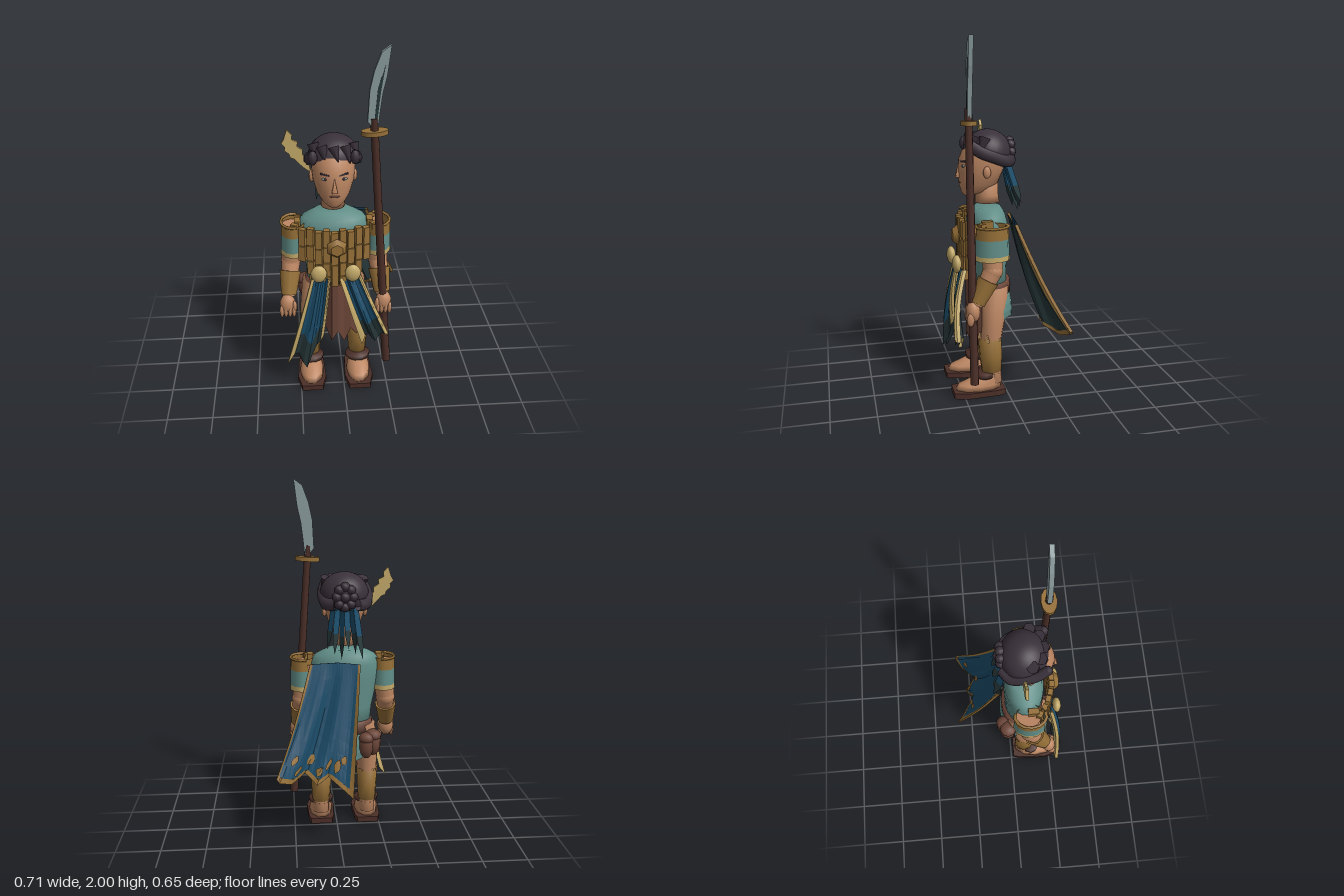
import * as THREE from 'three';

const V = (x, y, z) => new THREE.Vector3(x, y, z);
const CX = -0.05; // body axis

function paint(name, color, side = THREE.FrontSide) {
  const m = new THREE.MeshStandardMaterial({ color, side });
  m.name = name;
  return m;
}

// Stacked elliptical rings [y, rx, rz, cx, cz], capped at both ends
function loft(rings, n = 20) {
  const pos = [], idx = [];
  for (const [y, rx, rz, cx, cz] of rings) {
    for (let j = 0; j < n; j++) {
      const a = (j / n) * Math.PI * 2;
      pos.push(cx + rx * Math.cos(a), y, cz + rz * Math.sin(a));
    }
  }
  const last = (rings.length - 1) * n, b = rings.length * n;
  for (const r of [rings[0], rings[rings.length - 1]]) pos.push(r[3], r[0], r[4]);
  for (let j = 0; j < n; j++) {
    const k = (j + 1) % n;
    for (let i = 0; i < last; i += n) idx.push(i + j, i + n + j, i + k, i + k, i + n + j, i + n + k);
    idx.push(b, j, k, b + 1, last + k, last + j);
  }
  const g = new THREE.BufferGeometry();
  g.setAttribute('position', new THREE.Float32BufferAttribute(pos, 3));
  g.setIndex(idx);
  g.computeVertexNormals();
  return g;
}

// Cloth piece: part of a surface fn(u, v), faceted
function patch(fn, u0, u1, v0, v1, nu = 6, nv = 6) {
  const g = new THREE.PlaneGeometry(1, 1, nu, nv), p = g.attributes.position, uv = g.attributes.uv;
  for (let i = 0; i < p.count; i++) {
    const q = fn(u0 + (u1 - u0) * uv.getX(i), v0 + (v1 - v0) * (1 - uv.getY(i)));
    p.setXYZ(i, q.x, q.y, q.z);
  }
  const f = g.toNonIndexed();
  f.computeVertexNormals();
  return f;
}

// Point at fraction u of a polyline
function along(pts, u) {
  const t = u * (pts.length - 1), i = Math.min(Math.floor(t), pts.length - 2);
  return pts[i].clone().lerp(pts[i + 1], t - i);
}

// Tapered cylinder from a to b
function rod(a, b, ra, rb, n = 14) {
  const d = b.clone().sub(a);
  const g = new THREE.CylinderGeometry(rb, ra, d.length(), n);
  g.applyQuaternion(new THREE.Quaternion().setFromUnitVectors(V(0, 1, 0), d.normalize()));
  const c = a.clone().add(b).multiplyScalar(0.5);
  return g.translate(c.x, c.y, c.z);
}

const ball = (x, y, z, rx, ry = rx, rz = rx, n = 16) =>
  new THREE.SphereGeometry(1, n, Math.max(6, n * 0.7 | 0)).scale(rx, ry, rz).translate(x, y, z);
const box = (x, y, z, w, h, d) => new THREE.BoxGeometry(w, h, d).translate(x, y, z);

function plate(pts, depth, z) {
  const s = new THREE.Shape(pts.map(([x, y]) => new THREE.Vector2(x, y)));
  return new THREE.ExtrudeGeometry(s, { depth, bevelEnabled: false }).translate(0, 0, z);
}

export function createModel() {
  const model = new THREE.Group();
  model.name = 'spearBearer';
  const D = THREE.DoubleSide;
  const skin = paint('skin', 0xbd8763), hair = paint('hair', 0x3a313a, D), teal = paint('tealCloth', 0x628e88, D);
  const blue = paint('blueCloth', 0x1b4c69, D), dark = paint('darkCloth', 0x263638, D), gold = paint('gold', 0x967038, D);
  const tan = paint('paleGold', 0xc4aa6a, D), leather = paint('leather', 0x6b4538, D);
  const wood = paint('darkWood', 0x4c2f28), steel = paint('steel', 0x8a9b9d);
  const add = (name, geo, mat) => {
    const m = new THREE.Mesh(geo, mat);
    m.name = name;
    model.add(m);
  };

  // Torso, hips and neck
  add('tunic', loft([[0.6, 0.145, 0.1, CX, 0.07], [0.72, 0.155, 0.108, CX, 0.078], [0.88, 0.19, 0.115, CX, 0.08],
    [0.98, 0.205, 0.112, CX, 0.08], [1.03, 0.17, 0.1, CX, 0.08], [1.065, 0.1, 0.075, CX, 0.075]], 28), teal);
  add('hips', loft([[0.45, 0.13, 0.07, CX, 0.06], [0.52, 0.152, 0.085, CX, 0.06], [0.65, 0.14, 0.095, CX, 0.07]]), skin);
  add('neck', loft([[1.09, 0.068, 0.07, CX, 0.075], [1.13, 0.062, 0.066, CX, 0.078], [1.22, 0.064, 0.07, CX, 0.085]]), skin);
  add('belt', loft([[0.575, 0.165, 0.117, CX, 0.066], [0.645, 0.16, 0.119, CX, 0.07]]), leather);
  add('backSkirt', patch((u, v) => {
    const a = Math.PI * (1.08 + 0.82 * u), r = 1 + 0.22 * Math.sin(v * 2.2);
    return V(CX + 0.152 * r * Math.cos(a), 0.61 - 0.185 * v + 0.02 * Math.sin(u * 9) * v, 0.06 + 0.1 * r * Math.sin(a));
  }, 0, 1, 0, 1, 12, 4), teal);
  for (const [x, y, z, r] of [[-0.205, 0.52, -0.02, 0.048], [-0.165, 0.51, -0.045, 0.042]]) {
    add('pouch', ball(x, y, z, r, 0.078, r, 10), leather);
    add('pouchLid', ball(x, y + 0.045, z, r * 1.06, 0.034, r * 1.06, 10), leather);
  }

  // Head and face
  add('head', loft([[1.135, 0.03, 0.03, CX, 0.18], [1.155, 0.06, 0.07, CX, 0.152], [1.2, 0.09, 0.11, CX, 0.125],
    [1.27, 0.111, 0.126, CX, 0.112], [1.34, 0.118, 0.134, CX, 0.1], [1.41, 0.112, 0.116, CX, 0.085],
    [1.46, 0.08, 0.08, CX, 0.075]], 24), skin);
  add('nose', new THREE.ConeGeometry(0.024, 0.08, 4).rotateY(Math.PI / 4).scale(0.9, 1, 0.9).translate(CX, 1.277, 0.238), skin);
  add('mouth', ball(CX, 1.21, 0.23, 0.028, 0.008, 0.008, 10), leather);
  for (const s of [-1, 1]) {
    const x = CX + s * 0.048;
    add('ear', ball(CX + s * 0.116, 1.275, 0.1, 0.014, 0.034, 0.022, 10), skin);
    add('eye', ball(x, 1.305, 0.217, 0.02, 0.008, 0.008, 10), steel);
    add('iris', ball(x, 1.305, 0.223, 0.008, 0.008, 0.005, 8), hair);
    const brow = box(0, 0, 0, 0.052, 0.009, 0.012).rotateZ(s * 0.1).rotateY(s * 0.35);
    add('eyebrow', brow.translate(x, 1.33, 0.218), hair);
  }

  // Hair cap, fringe, side bands, bun and ribbons
  const cap = new THREE.SphereGeometry(1, 28, 16, 0, Math.PI * 2, 0, Math.PI * 0.57);
  add('hairCap', cap.rotateX(-0.45).scale(0.138, 0.127, 0.132).translate(CX + 0.005, 1.372, 0.075), hair);
  for (let i = 0; i < 5; i++) {
    const a = -1.1 + i * 0.55, x = CX + 0.118 * Math.sin(a), z = 0.085 + 0.117 * Math.cos(a);
    add('fringeLock', rod(V(x + 0.022, 1.395 - Math.abs(a) * 0.03, z + 0.008), V(x, 1.462, z - 0.03), 0.004, 0.034, 6), hair);
  }
  for (const s of [-1, 1]) {
    const path = new THREE.CatmullRomCurve3([[0.11, 1.4, 0.185], [0.128, 1.375, 0.13], [0.13, 1.355, 0.06], [0.112, 1.335, -0.01],
      [0.06, 1.335, -0.05]].map(([x, y, z]) => V(CX + s * x, y * 1 , z)));
    const band = new THREE.TubeGeometry(path, 12, 0.026, 7).translate(0, -1.36, 0).scale(1, 1.35, 1).translate(0, 1.365, 0);
    add('sideHairBand', band, hair);
    add('sideHairEnd', ball(CX + s * 0.11, 1.41, 0.185, 0.025, 0.04, 0.025, 8), hair);
  }
  add('bun', ball(-0.04, 1.375, -0.03, 0.052, 0.062, 0.04), hair);
  for (let i = 0; i < 8; i++) {
    const a = i * Math.PI / 4;
    add('bunCurl', ball(-0.04 + 0.045 * Math.cos(a), 1.375 + 0.055 * Math.sin(a), -0.05, 0.028, 0.028, 0.028, 8), hair);
  }
  add('bunCurl', ball(-0.04, 1.375, -0.06, 0.028, 0.028, 0.028, 8), hair);
  for (let i = 0; i < 6; i++) {
    const x = -0.1 + i * 0.025, low = 1.035 + 0.03 * (i % 3), turn = i % 2 ? 1 : -0.7;
    const ribbon = (u, v) => {
      const w = (u - 0.5) * 0.044 * (v < 0.7 ? 1 : (1 - v) * 3.3);
      return V(x + w * Math.cos(turn) + (i - 2.5) * 0.014 * v, 1.31 + (low - 1.31) * v, -0.03 - 0.065 * v + w * Math.sin(turn));
    };
    add('ribbon', patch(ribbon, 0, 1, 0, 0.55, 1, 3), blue);
    add('ribbonTip', patch(ribbon, 0, 1, 0.55, 1, 1, 4), dark);
  }
  add('feather', plate([[-0.165, 1.28], [-0.205, 1.31], [-0.24, 1.345], [-0.25, 1.36], [-0.275, 1.37], [-0.28, 1.39], [-0.305, 1.41],
    [-0.302, 1.43], [-0.32, 1.45], [-0.308, 1.47], [-0.29, 1.525], [-0.262, 1.495], [-0.266, 1.47], [-0.234, 1.455], [-0.238, 1.43],
    [-0.208, 1.41], [-0.21, 1.385], [-0.185, 1.36], [-0.175, 1.32]], 0.016, 0.057), tan);

  // Slatted chest armour
  const bulge = x => 0.236 - 1.8 * (x - CX) ** 2;
  const slat = (x, y, w, h) => {
    const g = new THREE.BoxGeometry(w, h, 0.03).rotateY((x - CX) * 2.4);
    add('armourSlat', g.translate(x, y, bulge(x)), gold);
  };
  for (let i = 0; i < 11; i++) {
    const x = CX + (i - 5) * 0.043, drop = (i % 2) * 0.014;
    slat(x, 0.965 - drop, 0.036, 0.1);
    slat(x, 0.865 - drop, 0.039, 0.09);
    if (Math.abs(i - 5) < 4) slat(x, 0.775 - drop, 0.036, 0.08);
    if (Math.abs(i - 5) < 3) slat(x, 0.7, 0.036, 0.06);
  }
  for (const [width, top, low] of [[0.46, 1.0, 0.83], [0.28, 0.83, 0.68]]) {
    add('armourBacking', patch((u, v) => {
      const x = CX + (u - 0.5) * width;
      return V(x, top + (low - top) * v, bulge(x) - 0.013);
    }, 0, 1, 0, 1, 12, 1), gold);
  }
  add('pendant', new THREE.CylinderGeometry(0.035, 0.058, 0.03, 6).rotateX(Math.PI / 2).translate(-0.04, 0.91, 0.265), gold);
  for (const x of [-0.14, 0.045]) add('disc', ball(x, 0.765, 0.27, 0.045, 0.052, 0.026, 10), tan);
  for (const s of [-1, 1]) add('shoulderStrap', box(CX + s * 0.198, 1.0, 0.118, 0.034, 0.05, 0.06), gold);

  // Arms, sleeves, bracers and hands
  const arms = [
    [V(0.16, 0.98, 0.09), V(0.2, 0.76, 0.1), V(0.218, 0.58, 0.195), 0.195, 1],
    [V(-0.26, 0.98, 0.09), V(-0.29, 0.76, 0.1), V(-0.308, 0.58, 0.19), -0.272, -1]];
  for (const [shoulder, elbow, wrist, sx, s] of arms) {
    add('upperArm', rod(elbow, shoulder, 0.054, 0.07), skin);
    add('elbow', ball(elbow.x, elbow.y, elbow.z, 0.056), skin);
    add('forearm', rod(wrist, elbow, 0.036, 0.055), skin);
    const cuff = t => elbow.clone().lerp(wrist, t);
    add('bracer', rod(cuff(0.95), cuff(0.28), 0.045, 0.062, 10), gold);
    for (const [top, low, mat] of [[1.01, 0.94, gold], [0.94, 0.85, teal], [0.85, 0.822, tan]]) {
      const r = y => 0.073 - (y - 0.82) * 0.03;
      const g = new THREE.CylinderGeometry(r(top), r(low), top - low, 10, 1, true).scale(1, 1, 1.32);
      add('sleeveBand', g.translate(sx, (top + low) / 2, 0.1), mat);
    }
    // Rim covers the outer half of the sleeve only
    const rim = new THREE.TorusGeometry(0.066, 0.008, 5, 8, Math.PI * 1.2).rotateZ(-Math.PI * 0.6).rotateX(Math.PI / 2);
    add('sleeveRim', rim.rotateY(s > 0 ? 0 : Math.PI).scale(1, 1, 1.32).translate(sx, 1.007, 0.1), gold);
    const hx = wrist.x + s * 0.006;
    add('palm', ball(hx, 0.545, 0.215, 0.045, 0.062, 0.04, 12), skin);
    for (let i = 0; i < 4; i++) {
      const fx = hx - 0.034 + i * 0.0225;
      add('finger', ball(fx, 0.51, 0.234, 0.0135, 0.04, 0.022, 8), skin);
    }
    add('thumb', ball(hx - s * 0.038, 0.54, 0.235, 0.014, 0.036, 0.018, 8), skin);
  }

  // Legs, greaves and sandals
  const soleShape = new THREE.Shape([[-0.062, 0.015], [0.062, 0.015], [0.074, 0.06], [0.082, 0.22], [0.06, 0.31], [-0.06, 0.31],
    [-0.082, 0.22], [-0.074, 0.06]].map(([x, z]) => new THREE.Vector2(x, z)));
  for (const x of [-0.185, 0.09]) {
    add('leg', loft([[0.06, 0.046, 0.05, x, 0.075], [0.14, 0.045, 0.05, x, 0.08], [0.3, 0.055, 0.06, x, 0.09],
      [0.42, 0.064, 0.065, x * 0.97, 0.075], [0.62, 0.068, 0.08, x * 0.8 - 0.01, 0.06]], 14), skin);
    add('greave', loft([[0.13, 0.052, 0.057, x, 0.085], [0.22, 0.058, 0.066, x, 0.09], [0.33, 0.062, 0.068, x, 0.095]], 10), gold);
    for (let i = 0; i < 5; i++) {
      const a = i * 1.257 + 0.4;
      add('greavePoint', new THREE.ConeGeometry(0.022, 0.05, 4).translate(x + 0.048 * Math.cos(a), 0.345, 0.095 + 0.054 * Math.sin(a)), gold);
    }
    add('ankleBand', loft([[0.102, 0.07, 0.056, x, 0.128], [0.13, 0.073, 0.058, x, 0.128]], 10), wood);
    add('foot', loft([[0.03, 0.07, 0.134, x, 0.163], [0.06, 0.066, 0.122, x, 0.155], [0.09, 0.054, 0.085, x, 0.12],
      [0.12, 0.046, 0.052, x, 0.08]], 10), skin);
    const sole = new THREE.ExtrudeGeometry(soleShape, { depth: 0.032, bevelEnabled: false }).rotateX(Math.PI / 2);
    add('sole', sole.translate(x, 0.032, 0), wood);
  }

  // Ragged loincloth
  add('loincloth', patch((u, v) => {
    const hem = [0.42, 0.28, 0.36, 0.27, 0.33, 0.25, 0.34, 0.28, 0.42][Math.round(u * 8)];
    const c = 2 * u - 1;
    return V(CX + 0.02 + c * (0.135 + 0.015 * v), 0.66 + (hem - 0.66) * v, 0.2 - 0.09 * c * c + 0.01 * Math.cos(u * 15));
  }, 0, 1, 0, 1, 8, 5), leather);

  // Bordered front sashes with dark lining
  const sashes = [
    [[V(-0.175, 0.74, 0.24), V(-0.075, 0.72, 0.25)],
      [V(-0.325, 0.19, 0.285), V(-0.265, 0.27, 0.29), V(-0.22, 0.165, 0.315), V(-0.155, 0.3, 0.28), V(-0.115, 0.36, 0.265)]],
    [[V(-0.025, 0.72, 0.25), V(0.09, 0.74, 0.24)],
      [V(0.1, 0.29, 0.265), V(0.13, 0.37, 0.28), V(0.17, 0.33, 0.3), V(0.21, 0.39, 0.315), V(0.245, 0.38, 0.305)]]];
  for (const [top, hem] of sashes) {
    const sash = (u, v) => along(top, u).lerp(along(hem, u), v).add(V(0, 0, 0.02 * Math.sin(v * Math.PI) + 0.01 * Math.cos(u * 14)));
    const lining = (u, v) => sash(u, v).add(V(0, 0, -0.02));
    for (const [a, b] of [[0, 0.17], [0.86, 1]]) {
      add('sashBorder', patch(sash, a, b, 0, 1, 2, 6), tan);
      add('sashBorderBack', patch(lining, a, b, 0, 1, 2, 6), tan);
    }
    for (const u of [0, 1]) add('sashEdge', patch((a, v) => sash(u, v).lerp(lining(u, v), a), 0, 1, 0, 1, 1, 6), tan);
    add('sash', patch(sash, 0.17, 0.86, 0, 0.72, 6, 6), blue);
    add('sashTip', patch(sash, 0.17, 0.86, 0.72, 1, 6, 2), dark);
    add('sashLining', patch(lining, 0.17, 0.86, 0, 1, 6, 6), dark);
  }

  // Flowing cape with dark lining, gold hem and worn patches
  const capeTop = [V(-0.125, 1.0, -0.075), V(0, 1.01, -0.06), V(0.155, 1.0, -0.05)];
  const capeHem = [V(-0.065, 0.31, -0.335), V(0, 0.355, -0.285), V(0.065, 0.4, -0.215), V(0.13, 0.37, -0.275),
    V(0.195, 0.42, -0.21), V(0.27, 0.385, -0.27), V(0.335, 0.41, -0.33), V(0.352, 0.43, -0.31)];
  const cape = (u, v) => along(capeTop, u).lerp(along(capeHem, u), v)
    .add(V(0, -0.04 * Math.sin(v * Math.PI), 0.02 * Math.sin(u * 16) * Math.sin(v * 2.6)));
  const inner = (u, v) => cape(u, v).add(V(0, -0.004, 0.017));
  for (const [layer, mat] of [[cape, blue], [inner, dark]]) {
    add('capeCloth', patch(layer, 0.05, 0.95, 0, 0.95, 18, 8), mat);
    add('capeHem', patch(layer, 0, 1, 0.95, 1, 21, 1), gold);
    for (const u of [0, 0.95]) add('capeEdge', patch(layer, u, u + 0.05, 0, 0.95, 1, 8), gold);
  }
  // Thin strips closing the cape's edges
  add('capeHemEdge', patch((u, v) => cape(u, 1).lerp(inner(u, 1), v), 0, 1, 0, 1, 21, 1), gold);
  for (const u of [0, 1]) add('capeSideEdge', patch((a, v) => cape(u, v).lerp(inner(u, v), a), 0, 1, 0, 1, 1, 8), gold);
  for (const [u, v, h] of [[0.13, 0.7, 0.1], [0.2, 0.76, 0.16], [0.31, 0.78, 0.12], [0.42, 0.83, 0.11], [0.54, 0.77, 0.14],
    [0.67, 0.84, 0.09], [0.76, 0.72, 0.11]]) {
    add('wornPatch', patch((a, b) => cape(u + (a - 0.5) * 0.08 * Math.sin(b * Math.PI) + b * 0.03, v + b * h)
      .add(V(0, 0.004, -0.009)), 0, 1, 0, 1, 2, 4), gold);
  }

  // Spear
  add('spearShaft', rod(V(0.25, 0.13, 0.215), V(0.15, 1.63, 0.215), 0.024, 0.02, 8), wood);
  add('spearGuard', new THREE.CylinderGeometry(0.07, 0.07, 0.024, 12).scale(1, 1, 0.6).rotateZ(0.06).translate(0.155, 1.555, 0.215), gold);
  add('spearBlade', plate([[0.228, 2.0], [0.18, 1.965], [0.145, 1.87], [0.125, 1.775], [0.117, 1.615], [0.145, 1.58], [0.17, 1.58],
    [0.178, 1.66], [0.19, 1.76], [0.21, 1.85]], 0.025, 0.2), steel);
  add('bladeGroove', plate([[0.152, 1.63], [0.166, 1.63], [0.18, 1.77], [0.2, 1.9], [0.165, 1.79]], 0.002, 0.2245), dark);
  return model;
}
